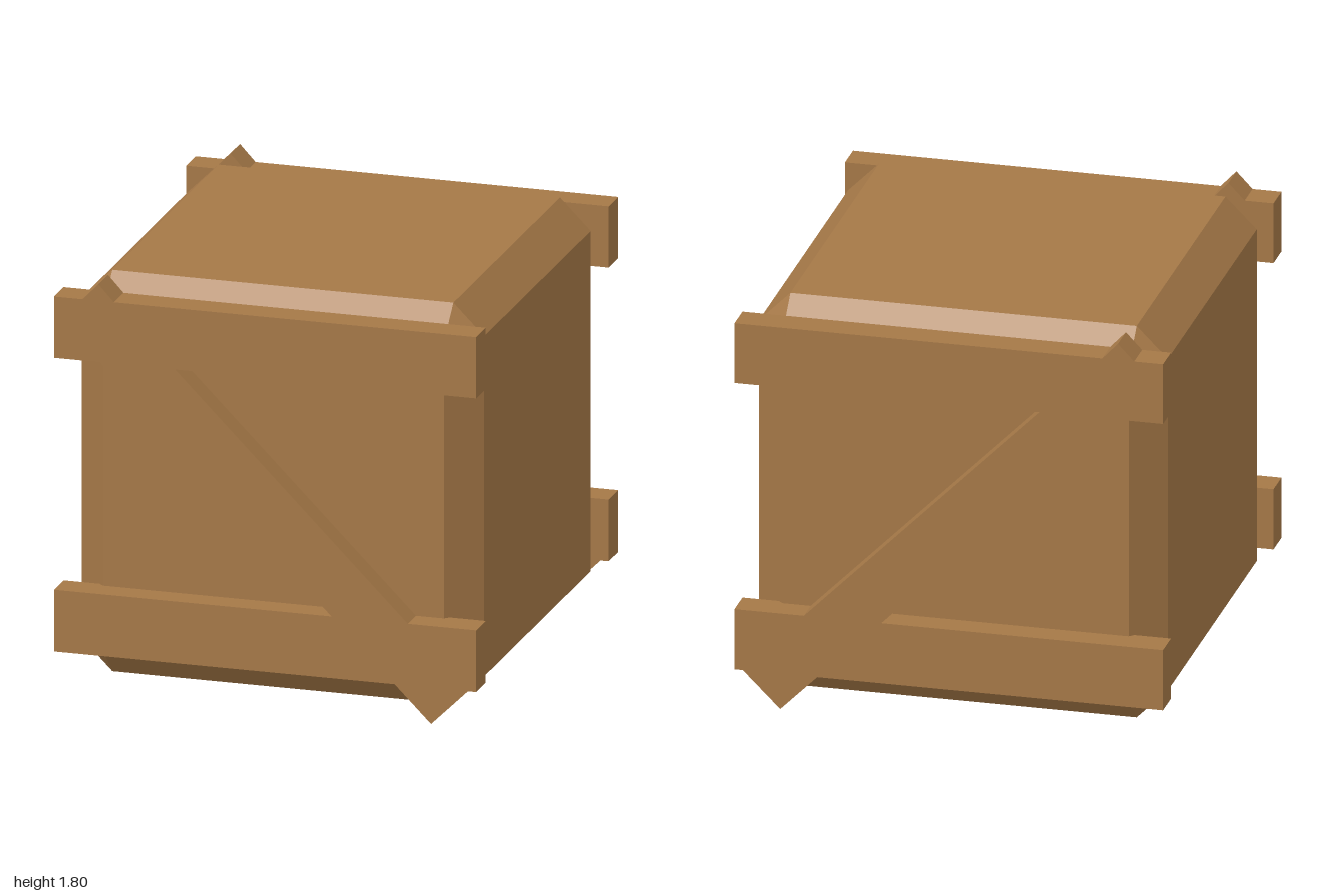
import * as THREE from 'three';
import { ConvexGeometry } from 'three/addons/geometries/ConvexGeometry.js';

const wood = new THREE.MeshStandardMaterial({ color: 0xa57847 });
wood.name = 'wood brown';

// Box whose edges and corners are all bevelled: hull of six inset faces
function bevelledBox(half, inset) {
  const points = [];
  for (const sx of [-1, 1]) for (const sy of [-1, 1]) for (const sz of [-1, 1]) {
    points.push(
      new THREE.Vector3(sx * half, sy * inset, sz * inset),
      new THREE.Vector3(sx * inset, sy * half, sz * inset),
      new THREE.Vector3(sx * inset, sy * inset, sz * half)
    );
  }
  return new ConvexGeometry(points);
}

// Two rails joined by a diagonal brace whose square ends poke past the rails
function frameGeometry(depth) {
  const w = 0.928;
  const outline = [
    [-w, 0.165], [0.57, 0.165], [0.73, 0.005], [0.892, 0.165], [w, 0.165], [w, 0.437],
    [0.628, 0.437], [-0.393, 1.46], [w, 1.46], [w, 1.73],
    [-0.665, 1.73], [-0.733, 1.803], [-0.803, 1.73], [-w, 1.73], [-w, 1.46],
    [-0.728, 1.46], [0.293, 0.437], [-w, 0.437]
  ].map(([x, y]) => new THREE.Vector2(x, y));
  return new THREE.ExtrudeGeometry(new THREE.Shape(outline), { depth, bevelEnabled: false });
}

export function createModel() {
  const group = new THREE.Group();
  group.name = 'woodenCrate';

  // Crate body
  const body = new THREE.Mesh(bevelledBox(0.885, 0.75), wood);
  body.name = 'crateBody';
  body.position.y = 0.903;
  group.add(body);

  // Matching plank frames on the front and back
  const depth = 0.135;
  const geometry = frameGeometry(depth);
  for (const [name, z] of [['frontFrame', 1 - depth], ['backFrame', -1]]) {
    const frame = new THREE.Mesh(geometry, wood);
    frame.name = name;
    frame.position.z = z;
    group.add(frame);
  }
  return group;
}
